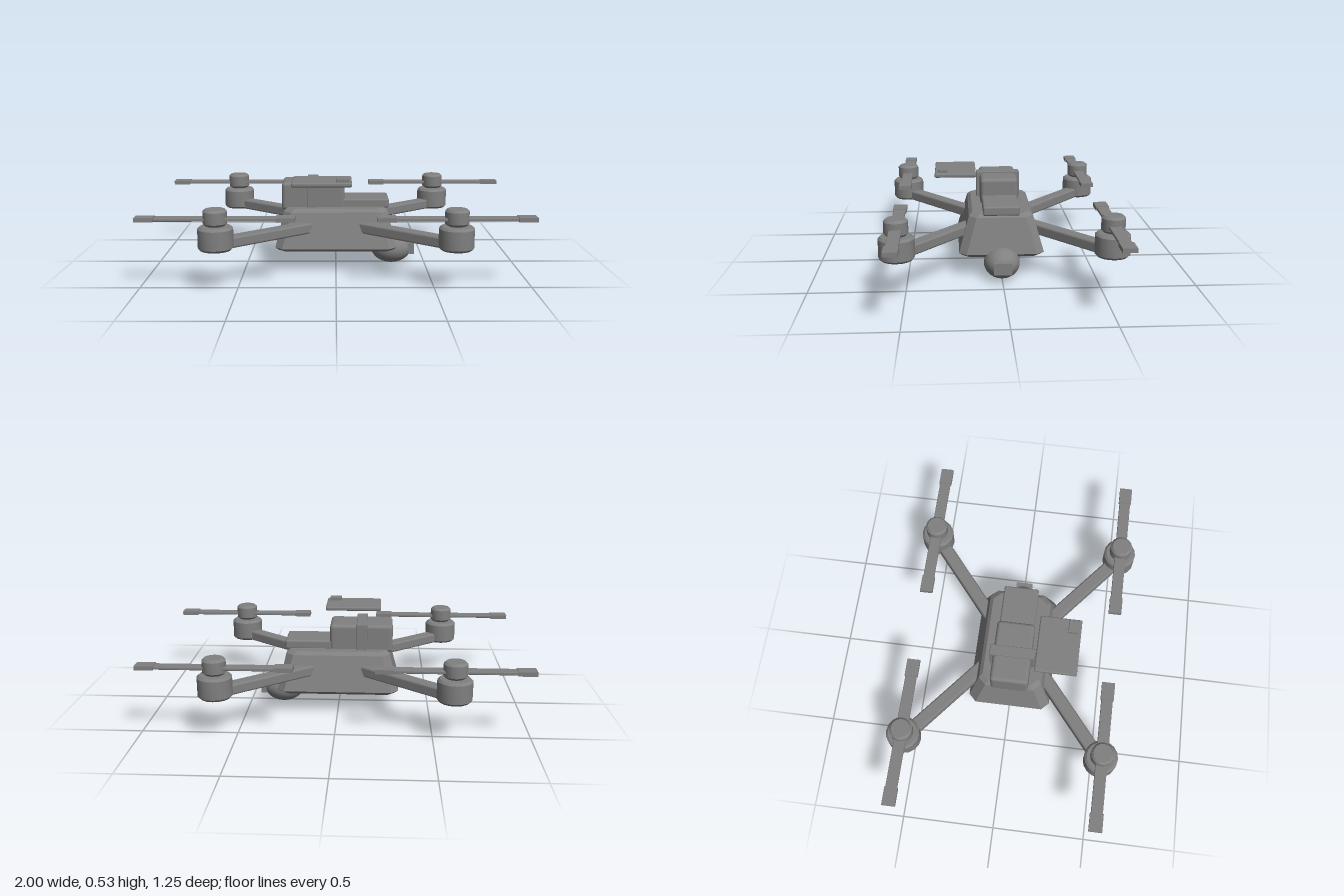
import * as THREE from 'three';
import { toCreasedNormals } from 'three/addons/utils/BufferGeometryUtils.js';
import { RoundedBoxGeometry } from 'three/addons/geometries/RoundedBoxGeometry.js';

const grey = new THREE.MeshStandardMaterial({ color: 0x808080 });
grey.name = 'matte grey';

function add(parent, name, geometry, x = 0, y = 0, z = 0) {
  const mesh = new THREE.Mesh(geometry, grey);
  mesh.name = name;
  mesh.position.set(x, y, z);
  parent.add(mesh);
  return mesh;
}

// Solid made of chamfered rectangles [y, halfX, halfZ] stacked upward
function chamferedLoft(rings, c) {
  const pos = [], idx = [], n = 8;
  for (const [y, a, b] of rings) {
    for (const [x, z] of [[a, b - c], [a, c - b], [a - c, -b], [c - a, -b],
      [-a, c - b], [-a, b - c], [c - a, b], [a - c, b]]) pos.push(x, y, z);
  }
  const last = (rings.length - 1) * n;
  for (let r = 0; r < last; r += n) {
    for (let i = 0; i < n; i++) {
      const j = (i + 1) % n;
      idx.push(r + i, r + j, r + n + j, r + i, r + n + j, r + n + i);
    }
  }
  for (let i = 1; i < n - 1; i++) {
    idx.push(0, i + 1, i, last, last + i, last + i + 1);
  }
  const g = new THREE.BufferGeometry();
  g.setAttribute('position', new THREE.Float32BufferAttribute(pos, 3));
  g.setIndex(idx);
  return toCreasedNormals(g, 0.3);
}

// Cylinder with bevelled rims, resting on y = 0
function bevelledCylinder(r, h, b) {
  const profile = [[0, 0], [r - b, 0], [r, b], [r, h - b], [r - b, h], [0, h]]
    .map(([x, y]) => new THREE.Vector2(x, y));
  return toCreasedNormals(new THREE.LatheGeometry(profile, 16), 0.5);
}

export function createModel() {
  const drone = new THREE.Group();
  drone.name = 'quadcopter';

  // Body and the low deck on its nose
  add(drone, 'hull', chamferedLoft([
    [0.115, 0.312, 0.21], [0.132, 0.33, 0.227], [0.322, 0.283, 0.172], [0.34, 0.262, 0.153],
  ], 0.04));
  add(drone, 'deck', new RoundedBoxGeometry(0.28, 0.05, 0.194, 2, 0.01), 0.152, 0.358, 0);

  // Battery with its strap
  add(drone, 'battery', new RoundedBoxGeometry(0.344, 0.155, 0.206, 2, 0.02), -0.125, 0.397, 0);
  add(drone, 'strap', new RoundedBoxGeometry(0.058, 0.153, 0.244, 1, 0.004), -0.129, 0.407, 0);

  // Raised side panel with a small sensor
  add(drone, 'panel', new RoundedBoxGeometry(0.315, 0.023, 0.226, 2, 0.008), -0.074, 0.505, 0.24);
  add(drone, 'sensor', new RoundedBoxGeometry(0.066, 0.024, 0.05, 1, 0.003), 0.033, 0.523, 0.308);

  // Camera pod under the nose
  const pod = new THREE.SphereGeometry(1, 24, 16);
  pod.scale(0.113, 0.083, 0.096);
  add(drone, 'cameraPod', pod, 0.313, 0.085, 0);
  add(drone, 'lens', new THREE.BoxGeometry(0.04, 0.062, 0.094), 0.42, 0.087, 0);

  // Four arms with motors and propellers
  const motorX = 0.602, motorZ = 0.533;
  const reach = new THREE.Vector2(motorX - 0.1, motorZ - 0.12);
  const motorGeometry = bevelledCylinder(0.09, 0.12, 0.012);
  const hubGeometry = bevelledCylinder(0.061, 0.084, 0.012);
  const shaftGeometry = new THREE.CylinderGeometry(0.04, 0.04, 0.02, 16);
  const armGeometry = new RoundedBoxGeometry(reach.length(), 0.058, 0.075, 1, 0.012);
  const bladeGeometry = new RoundedBoxGeometry(0.78, 0.016, 0.062, 1, 0.004);
  const tipGeometry = new THREE.BoxGeometry(0.095, 0.022, 0.07);
  for (const sx of [-1, 1]) {
    for (const sz of [-1, 1]) {
      const arm = add(drone, 'arm', armGeometry,
        sx * (0.1 + motorX) / 2, 0.24, sz * (0.12 + motorZ) / 2);
      arm.rotation.y = -sx * sz * reach.angle();

      const rotor = new THREE.Group();
      rotor.name = 'rotor';
      rotor.position.set(sx * motorX, 0, sz * motorZ);
      drone.add(rotor);
      add(rotor, 'motor', motorGeometry, 0, 0.212, 0);
      add(rotor, 'shaft', shaftGeometry, 0, 0.335, 0);
      add(rotor, 'hub', hubGeometry, 0, 0.336, 0);
      add(rotor, 'blade', bladeGeometry, 0, 0.369, 0);
      for (const s of [-1, 1]) add(rotor, 'bladeTip', tipGeometry, s * 0.3505, 0.369, 0);
    }
  }
  return drone;
}
